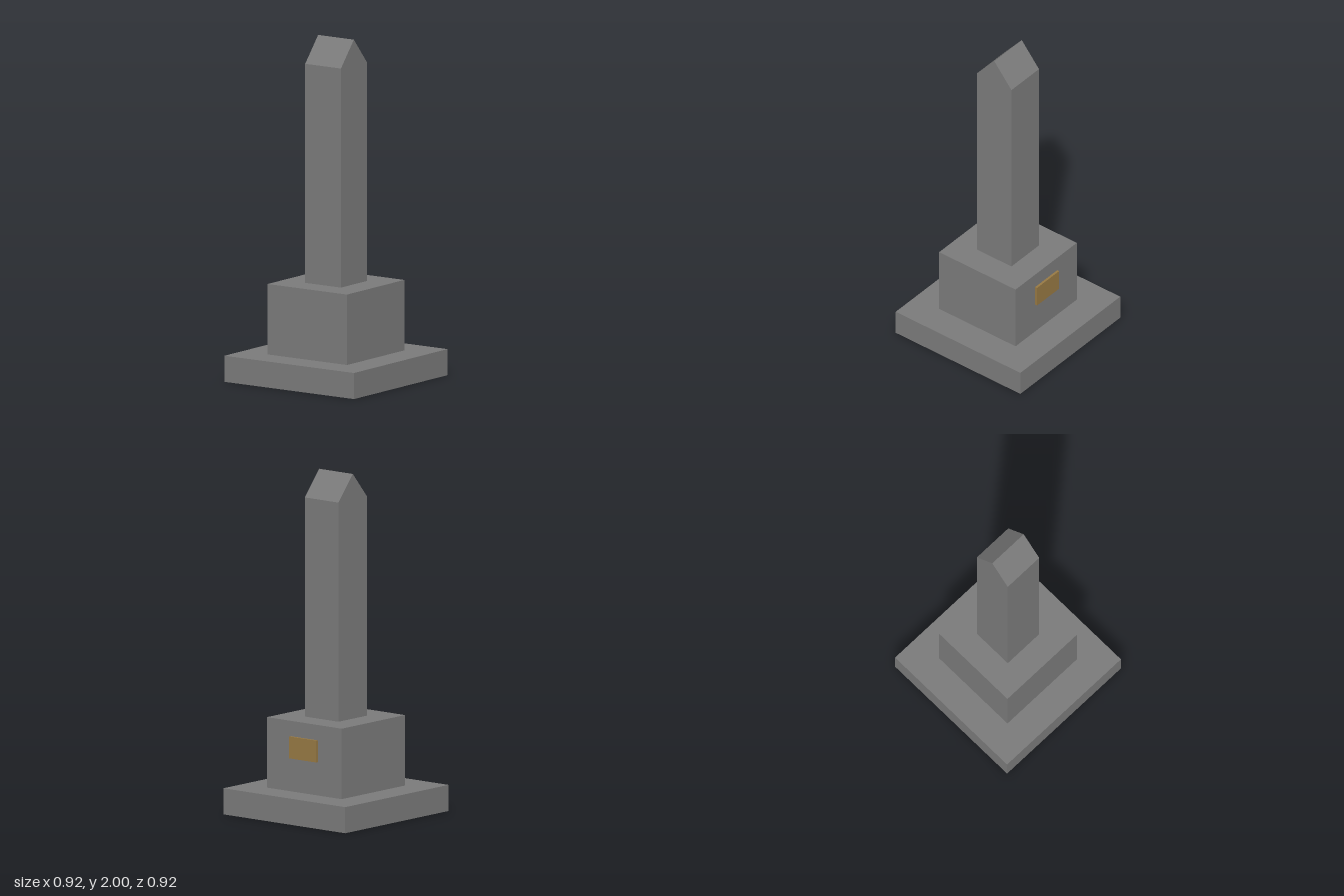
import * as THREE from 'three';

const stone = new THREE.MeshStandardMaterial({ color: 0x7a7a7a });
stone.name = 'stone';
const bronze = new THREE.MeshStandardMaterial({ color: 0x967843 });
bronze.name = 'bronze';

// Box standing on height y
function block(name, material, w, h, d, y, z = 0) {
  const mesh = new THREE.Mesh(new THREE.BoxGeometry(w, h, d), material);
  mesh.name = name;
  mesh.position.set(0, y + h / 2, z);
  return mesh;
}

export function createModel() {
  const group = new THREE.Group();
  group.name = 'monument';

  // Stepped foundation
  group.add(block('base', stone, 0.92, 0.153, 0.92, 0));
  group.add(block('pedestal', stone, 0.564, 0.413, 0.564, 0.153));

  // Shaft with a gabled top, ridge running along x
  const r = 0.127;
  const profile = new THREE.Shape([
    new THREE.Vector2(-r, 0.566),
    new THREE.Vector2(r, 0.566),
    new THREE.Vector2(r, 1.85),
    new THREE.Vector2(0, 2),
    new THREE.Vector2(-r, 1.85),
  ]);
  const shaftGeometry = new THREE.ExtrudeGeometry(profile, { depth: 2 * r, bevelEnabled: false });
  shaftGeometry.translate(0, 0, -r).rotateY(Math.PI / 2);
  const shaft = new THREE.Mesh(shaftGeometry, stone);
  shaft.name = 'shaft';
  group.add(shaft);

  // Plaque on the back of the pedestal
  group.add(block('plaque', bronze, 0.204, 0.128, 0.014, 0.348, -0.289));

  return group;
}
